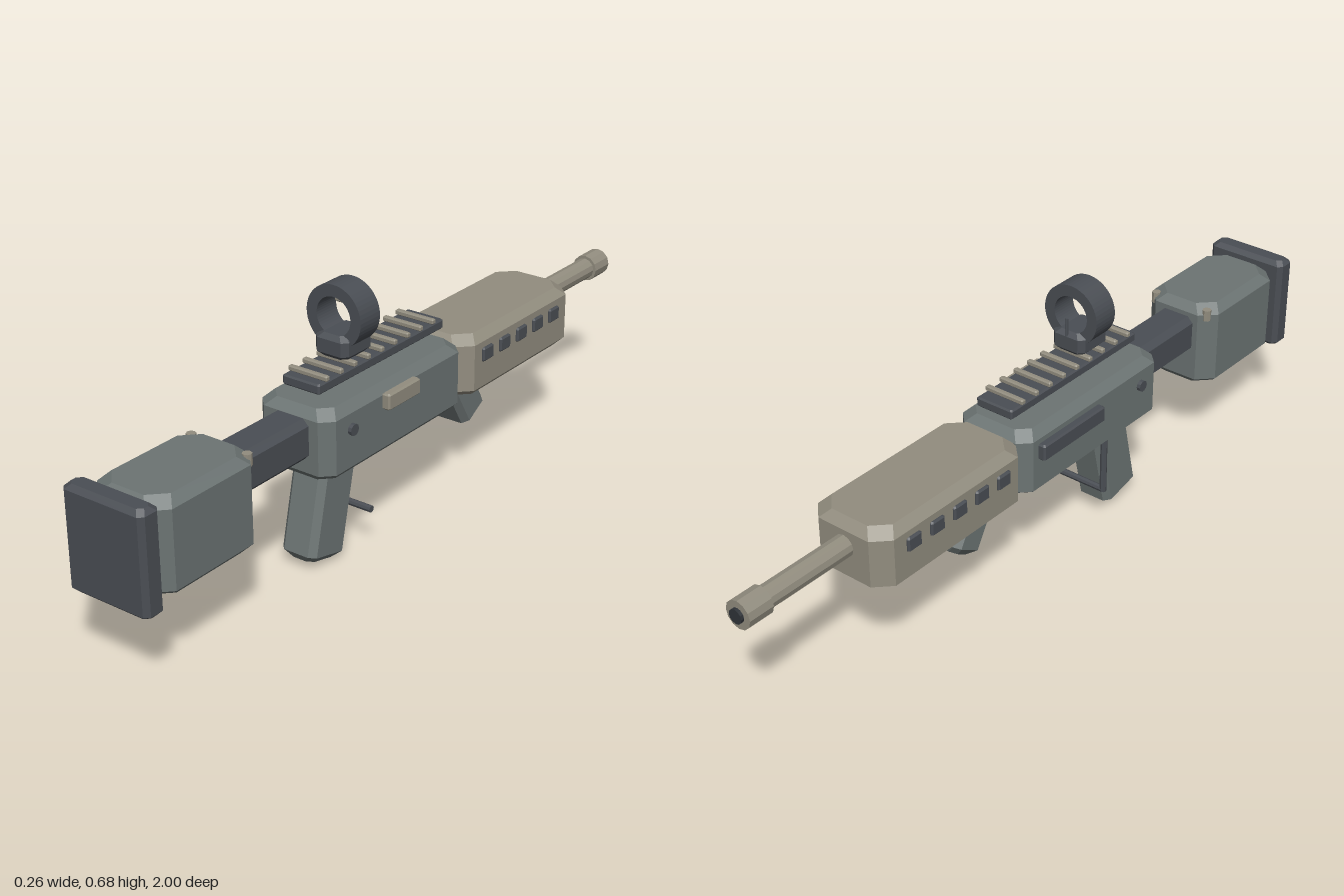
import * as THREE from 'three';
import { ConvexGeometry } from 'three/addons/geometries/ConvexGeometry.js';

const material = (name, color) => {
  const m = new THREE.MeshStandardMaterial({ color });
  m.name = name;
  return m;
};

export function createModel() {
  const body = material('greyGreen', 0x6c7473);
  const dark = material('darkGrey', 0x4a4e54);
  const tan = material('warmGrey', 0x928d7f);
  const black = material('nearBlack', 0x2f3338);
  const model = new THREE.Group();
  model.name = 'toyRifle';

  const add = (name, geometry, mat, x, y, z) => {
    const mesh = new THREE.Mesh(geometry, mat);
    mesh.name = name;
    mesh.position.set(x, y, z);
    model.add(mesh);
    return mesh;
  };

  // Block with corner cut c in plan and bevel b round its top and bottom
  const block = (w, h, d, c, b) => {
    const points = [];
    for (const [y, inset] of [[-h / 2, b], [-h / 2 + b, 0], [h / 2 - b, 0], [h / 2, b]]) {
      const X = w / 2 - inset, Z = d / 2 - inset;
      for (const sx of [-1, 1]) for (const sz of [-1, 1]) {
        points.push(new THREE.Vector3(sx * (X - c), y, sz * Z));
        points.push(new THREE.Vector3(sx * X, y, sz * (Z - c)));
      }
    }
    return new ConvexGeometry(points);
  };

  // Faceted round bar along an axis
  const bar = (r, length, axis, sides = 12) => {
    const g = new THREE.CylinderGeometry(r, r, length, sides).toNonIndexed();
    if (axis === 'x') g.rotateZ(Math.PI / 2);
    if (axis === 'z') g.rotateX(Math.PI / 2);
    g.computeVertexNormals();
    return g;
  };

  const cx = -0.002;

  // Stock
  add('buttPlate', block(0.232, 0.262, 0.06, 0.012, 0.012), dark, cx, 0.333, 0.97);
  add('stock', block(0.216, 0.24, 0.33, 0.04, 0.022), body, cx, 0.331, 0.775);
  add('stockTube', block(0.106, 0.28, 0.106, 0.016, 0.006).rotateX(Math.PI / 2), dark, cx, 0.364, 0.5);
  for (const s of [-1, 1]) add('stockScrew', bar(0.012, 0.03, 'y', 8), tan, cx + s * 0.082, 0.428, 0.632);

  // Receiver and its side details
  add('receiver', block(0.22, 0.183, 0.55, 0.03, 0.022), body, cx, 0.348, 0.11);
  add('rightPanel', block(0.024, 0.044, 0.24, 0.004, 0.004), dark, -0.119, 0.382, 0.005);
  add('leftPanel', block(0.024, 0.042, 0.126, 0.004, 0.004), tan, 0.118, 0.403, 0.117);
  add('crossPin', bar(0.015, 0.24, 'x', 10), dark, cx, 0.377, 0.297);

  // Handguard, vents and barrel
  add('handguard', block(0.232, 0.168, 0.51, 0.04, 0.022), tan, cx, 0.351, -0.415);
  for (const s of [-1, 1]) {
    for (let i = 0; i < 5; i++) {
      add('vent', block(0.016, 0.038, 0.046, 0.004, 0.004), dark, cx + s * 0.115, 0.377, -0.255 - i * 0.078);
    }
  }
  add('barrel', bar(0.029, 0.3, 'z'), tan, cx, 0.37, -0.79);
  add('muzzle', bar(0.037, 0.07, 'z'), tan, cx, 0.37, -0.957);
  add('bore', bar(0.019, 0.02, 'z'), black, cx, 0.37, -0.99);

  // Grips
  add('grip', block(0.104, 0.3, 0.131, 0.016, 0.018), body, cx, 0.158, 0.284).rotation.x = -0.23;
  add('foregrip', block(0.104, 0.2, 0.1, 0.016, 0.018), body, cx, 0.246, -0.265).rotation.x = 0.53;

  // Trigger guard rods
  add('triggerRod', bar(0.009, 0.17, 'y', 8), dark, -0.085, 0.187, 0.185);
  add('triggerBar', bar(0.009, 0.165, 'x', 8), dark, -0.003, 0.107, 0.185);

  // Top rail with cross ridges
  add('rail', block(0.11, 0.026, 0.495, 0.004, 0.004), dark, cx, 0.477, 0.099);
  for (let i = 0; i < 9; i++) {
    add('railRidge', block(0.115, 0.014, 0.014, 0.002, 0.003), tan, cx, 0.496, 0.315 - i * 0.0525);
  }

  // Ring sight
  add('sightBase', block(0.098, 0.06, 0.11, 0.014, 0.012), dark, cx, 0.534, 0.185);
  const ring = new THREE.Shape().absarc(0, 0, 0.08, 0, Math.PI * 2);
  ring.holes.push(new THREE.Path().absarc(0, 0, 0.05, 0, Math.PI * 2, true));
  const ringGeometry = new THREE.ExtrudeGeometry(ring, { depth: 0.074, bevelEnabled: false, curveSegments: 24 });
  add('sightRing', ringGeometry, dark, cx, 0.605, 0.147);
  add('sightTab', block(0.027, 0.026, 0.03, 0.003, 0.004), tan, cx, 0.647, 0.185);
  add('sightPost', bar(0.0035, 0.05, 'y', 6), dark, cx, 0.576, 0.133);

  return model;
}
